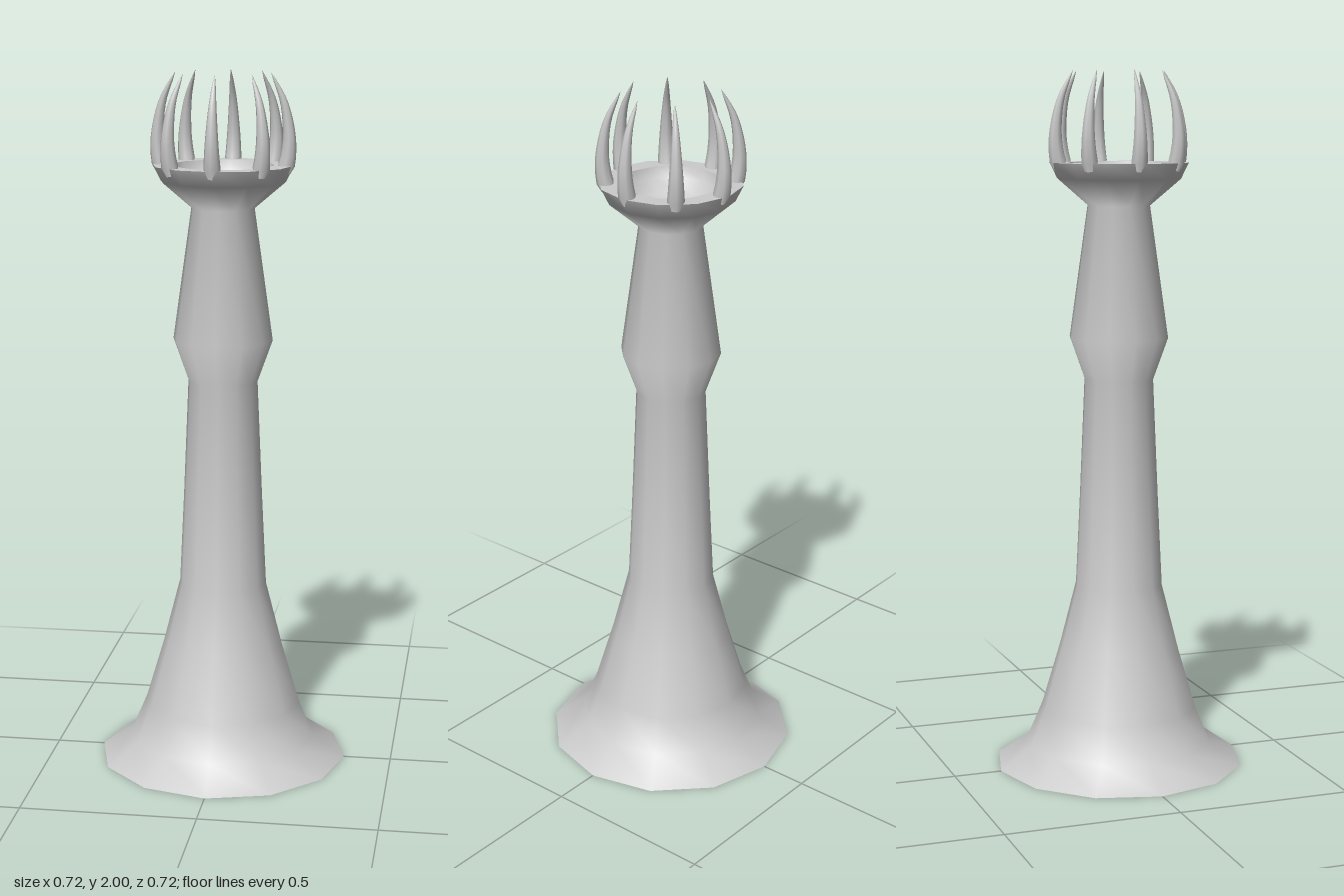
import * as THREE from 'three';

const material = new THREE.MeshStandardMaterial({ color: 0xcccccc, side: THREE.DoubleSide });
const SIDES = 12;

// Turned surface from [radius, height] pairs
function turned(name, profile) {
  const points = profile.map(([r, y]) => new THREE.Vector2(r, y));
  const mesh = new THREE.Mesh(new THREE.LatheGeometry(points, SIDES), material);
  mesh.name = name;
  return mesh;
}

// Curved tube that narrows to a point at the top
function clawGeometry() {
  const curve = new THREE.CatmullRomCurve3([
    new THREE.Vector3(0.174, 1.725, 0),
    new THREE.Vector3(0.184, 1.775, 0),
    new THREE.Vector3(0.186, 1.83, 0),
    new THREE.Vector3(0.171, 1.92, 0),
    new THREE.Vector3(0.135, 2.0, 0),
  ]);
  const rings = 12, sides = 8;
  const geometry = new THREE.TubeGeometry(curve, rings, 1, sides, false);
  const pos = geometry.attributes.position;
  const v = new THREE.Vector3();
  for (let i = 0; i <= rings; i++) {
    const t = i / rings;
    const centre = curve.getPointAt(t);
    const radius = i === 0 ? 0.016 : 0.025 * Math.pow(1 - t, 0.75) + 0.0005;
    for (let j = 0; j <= sides; j++) {
      const k = i * (sides + 1) + j;
      v.fromBufferAttribute(pos, k).sub(centre).multiplyScalar(radius).add(centre);
      pos.setXYZ(k, v.x, Math.min(v.y, 2), v.z);
    }
  }
  return geometry;
}

export function createModel() {
  const model = new THREE.Group();
  model.name = 'clawedPedestal';

  // Hollow column with flared foot, bulging neck and cup, open underneath
  model.add(turned('column', [
    [0.362, 0], [0.27, 0.065], [0.228, 0.165], [0.176, 0.34], [0.127, 0.53],
    [0.114, 0.8], [0.1, 1.13], [0.143, 1.25], [0.09, 1.625], [0.178, 1.7], [0.2, 1.745],
  ]));

  // Flat rim and the hollow of the cup
  model.add(turned('cupRim', [[0.2, 1.745], [0.145, 1.745]]));
  model.add(turned('cupBowl', [
    [0.145, 1.745], [0.137, 1.715], [0.105, 1.68], [0.055, 1.66], [0, 1.655],
  ]));

  // Ring of inward-curving claws, turned slightly off the axes
  const claw = clawGeometry();
  const claws = new THREE.Group();
  claws.name = 'claws';
  for (let i = 0; i < 8; i++) {
    const mesh = new THREE.Mesh(claw, material);
    mesh.name = 'claw';
    mesh.rotation.y = (i * Math.PI) / 4 - 0.02;
    claws.add(mesh);
  }
  model.add(claws);
  return model;
}
